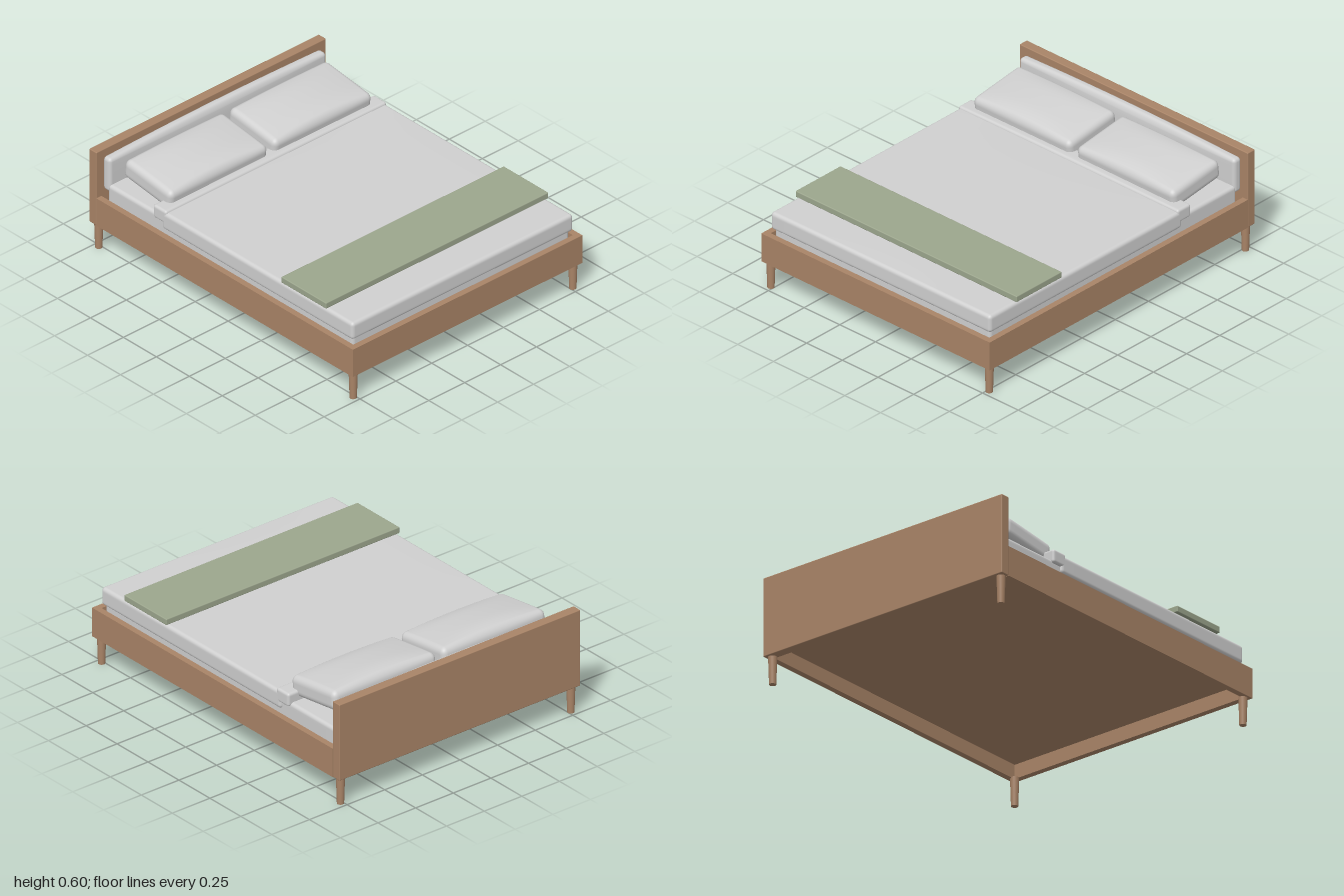
import * as THREE from 'three';
import { mergeVertices } from 'three/addons/utils/BufferGeometryUtils.js';
import { RoundedBoxGeometry } from 'three/addons/geometries/RoundedBoxGeometry.js';

const wood = new THREE.MeshStandardMaterial({ color: 0xa98467 });
wood.name = 'wood';
const linen = new THREE.MeshStandardMaterial({ color: 0xd0d0d0 });
linen.name = 'linen';
const sage = new THREE.MeshStandardMaterial({ color: 0x9ca68d });
sage.name = 'sage';

// Rounded cushion: corners of radius r, faces swelling by bulgeY and bulgeZ in the middle
function cushionGeometry(w, h, d, r, bulgeY = 0, bulgeZ = 0) {
  const n = 18, k = 4;
  let geo = new THREE.BoxGeometry(2, 2, 2, n, n, n);
  const pos = geo.attributes.position;
  const half = new THREE.Vector3(w / 2, h / 2, d / 2);
  const inner = half.clone().subScalar(r);
  const p = new THREE.Vector3(), core = new THREE.Vector3();

  // Spend k grid rows on each rounded edge, the rest on the flat span
  const spread = (t, a, b) => {
    const i = Math.round((t + 1) / 2 * n);
    if (i < k) return -a + r * i / k;
    if (i > n - k) return a - r * (n - i) / k;
    return -b + 2 * b * (i - k) / (n - 2 * k);
  };
  for (let i = 0; i < pos.count; i++) {
    p.fromBufferAttribute(pos, i);
    p.set(spread(p.x, half.x, inner.x), spread(p.y, half.y, inner.y), spread(p.z, half.z, inner.z));
    core.copy(p).clamp(inner.clone().negate(), inner);
    p.sub(core).setLength(r).add(core);
    const u = p.x / half.x, v = p.y / half.y, q = p.z / half.z;
    p.y += v * bulgeY * (1 - u * u) * (1 - q ** 4);
    p.z += q * bulgeZ * (1 - u * u) * (1 - v ** 4);
    pos.setXYZ(i, p.x, p.y, p.z);
  }
  geo.deleteAttribute('normal');
  geo.deleteAttribute('uv');
  geo = mergeVertices(geo, 1e-5);
  geo.computeVertexNormals();
  return geo;
}

export function createModel() {
  const bed = new THREE.Group();
  bed.name = 'bed';

  const add = (name, geo, mat, x, y, z) => {
    const mesh = new THREE.Mesh(geo, mat);
    mesh.name = name;
    mesh.position.set(x, y, z);
    bed.add(mesh);
    return mesh;
  };
  const board = (w, h, d) => new RoundedBoxGeometry(w, h, d, 2, 0.005);

  // Wooden frame
  add('headboard', board(1.6, 0.445, 0.055), wood, 0, 0.3775, -0.9725);
  add('footRail', new THREE.BoxGeometry(1.6, 0.167, 0.035), wood, 0, 0.2385, 0.9825);
  add('basePanel', new THREE.BoxGeometry(1.54, 0.03, 1.92), wood, 0, 0.25, 0.01);
  for (const side of [-1, 1]) {
    const label = side > 0 ? 'left' : 'right';
    add(label + 'SideRail', new THREE.BoxGeometry(0.035, 0.167, 1.91), wood, side * 0.7825, 0.2385, 0.01);
    for (const end of [-1, 1]) {
      add(label + (end > 0 ? 'FrontLeg' : 'BackLeg'),
        new THREE.CylinderGeometry(0.024, 0.019, 0.16, 24), wood, side * 0.765, 0.08, end * 0.965);
    }
  }

  // Bedding
  add('mattress', cushionGeometry(1.51, 0.14, 1.86, 0.02), linen, 0, 0.335, 0.02);
  add('duvet', cushionGeometry(1.54, 0.103, 1.45, 0.02, 0.005), linen, 0, 0.3965, 0.24);
  add('duvetFold', cushionGeometry(1.54, 0.076, 0.1, 0.014, 0.004), linen, 0, 0.422, -0.5);
  add('throwBlanket', cushionGeometry(1.55, 0.036, 0.34, 0.005), sage, 0, 0.468, 0.6);

  // Padded back cushion and two pillows leaning back
  add('backCushion', cushionGeometry(1.51, 0.2, 0.055, 0.02, 0.015, 0.006), linen, 0, 0.46, -0.919);
  for (const side of [-1, 1]) {
    const pillow = add(side > 0 ? 'leftPillow' : 'rightPillow',
      cushionGeometry(0.685, 0.11, 0.36, 0.032, 0.026), linen, side * 0.363, 0.491, -0.667);
    pillow.rotation.x = 0.13;
  }
  return bed;
}
